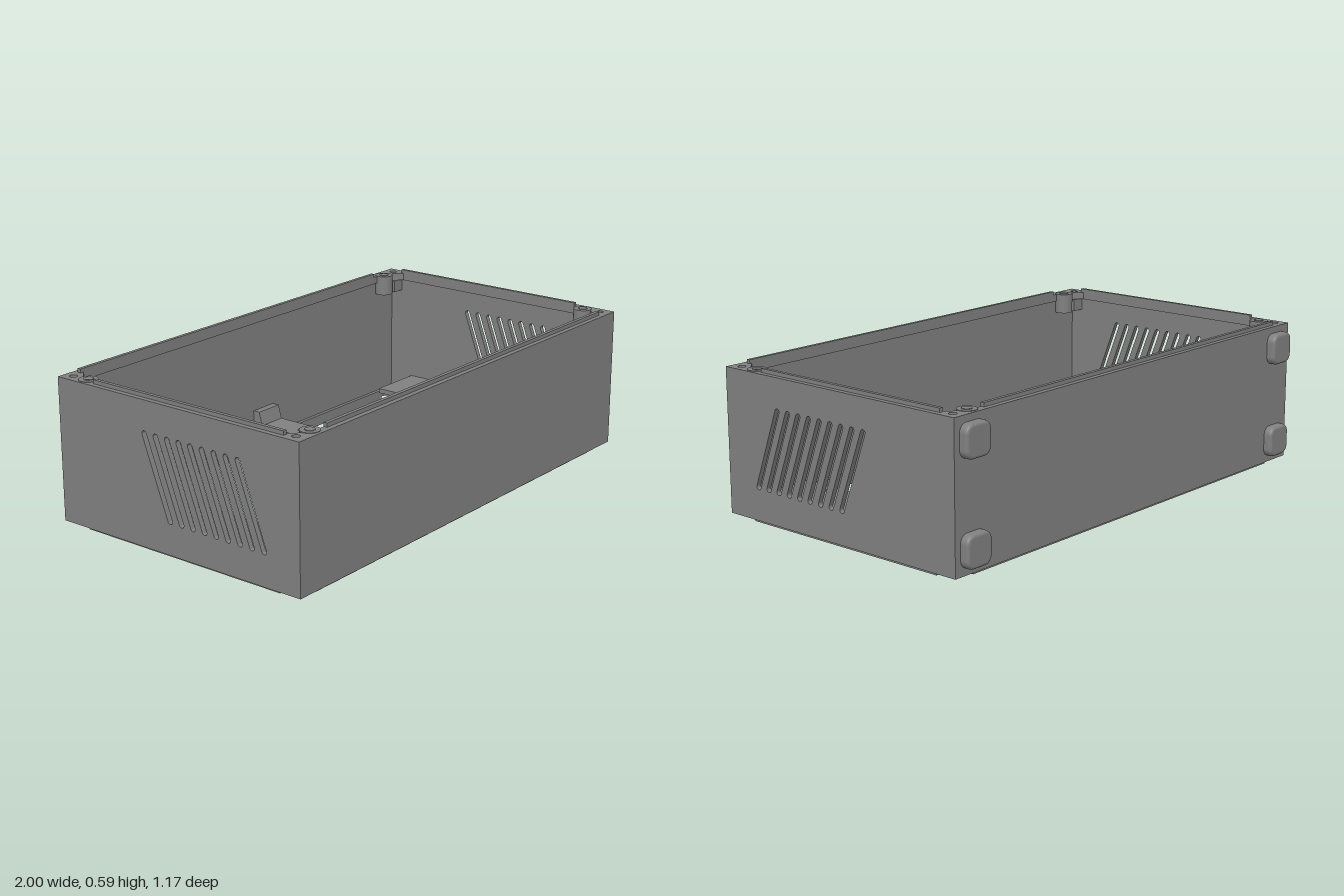
import * as THREE from 'three';

const X = 1, ZB = -0.547, ZF = 0.587; // outer shell limits
const Y0 = 0.015, Y1 = 0.575, T = 0.02, RIM = 0.035, TAB = 0.075;

export function createModel() {
  const group = new THREE.Group();
  const grey = new THREE.MeshStandardMaterial({ color: 0x808080 });
  grey.name = 'mid grey';

  const add = (geo, name, x = 0, y = 0, z = 0) => {
    const m = new THREE.Mesh(geo, grey);
    m.name = name;
    m.position.set(x, y, z);
    group.add(m);
    return m;
  };
  // box from its limits
  const block = (name, x0, x1, y0, y1, z0, z1) =>
    add(new THREE.BoxGeometry(x1 - x0, y1 - y0, z1 - z0), name, (x0 + x1) / 2, (y0 + y1) / 2, (z0 + z1) / 2);
  const poly = (pts, Kind = THREE.Shape) => new Kind(pts.map(p => new THREE.Vector2(...p)));
  const rect = (x0, x1, z0, z1) => poly([[x0, z0], [x1, z0], [x1, z1], [x0, z1]]);
  const drill = (shape, x, z, r) => {
    shape.holes.push(new THREE.Path().absarc(x, z, r, 0, Math.PI * 2, true));
    return shape;
  };
  const extrude = (shape, depth) =>
    new THREE.ExtrudeGeometry(shape, { depth, bevelEnabled: false, curveSegments: 16 });
  // horizontal plate drawn in (x, z), extruded down from its top
  const slab = (shape, name, top, depth) => {
    const m = add(extrude(shape, depth), name, 0, top, 0);
    m.rotation.x = Math.PI / 2;
  };

  // front and back walls
  block('frontWall', -X, X, Y0, Y1, ZF - T, ZF);
  block('backWall', -X, X, Y0, Y1, ZB, ZB + T);

  // side walls with slanted vent slots
  const side = rect(ZB + T, ZF - T, Y0, Y1);
  const r = 0.011, lean = Math.atan2(0.318, -0.113);
  for (let i = 0; i < 9; i++) {
    const zt = 0.316 - i * 0.0545, zb = zt + 0.113;
    const slot = new THREE.Path();
    slot.absarc(zt, 0.449, r, lean - Math.PI / 2, lean + Math.PI / 2, false);
    slot.absarc(zb, 0.146, r, lean + Math.PI / 2, lean + Math.PI * 1.5, false);
    slot.closePath();
    side.holes.push(slot);
  }
  for (const [name, x] of [['leftWall', X], ['rightWall', -X + T]]) {
    add(extrude(side, T), name, x).rotation.y = -Math.PI / 2;
  }

  // thickened rims with screw holes in the corner tabs
  const corners = [[1, 1], [1, -1], [-1, 1], [-1, -1]];
  const holeX = X - 0.039, holeZ = s => (s > 0 ? ZF - 0.045 : ZB + 0.041);
  const rim = rect(-X, X, ZB, ZF);
  const a = X - RIM, b = X - TAB, f = ZF - RIM, g = ZF - TAB, k = ZB + RIM, l = ZB + TAB;
  rim.holes.push(poly([
    [a, l + 0.02], [a, g - 0.02], [b + 0.02, g], [b, g + 0.02], [b - 0.02, f],
    [-b + 0.02, f], [-b, g + 0.02], [-b - 0.02, g], [-a, g - 0.02],
    [-a, l + 0.02], [-b - 0.02, l], [-b, l - 0.02], [-b + 0.02, k],
    [b - 0.02, k], [b, l - 0.02], [b + 0.02, l],
  ], THREE.Path));
  for (const [sx, sz] of corners) drill(rim, sx * holeX, holeZ(sz), 0.015);
  slab(rim, 'topRim', Y1, 0.03);
  slab(rim, 'bottomRim', Y0 + 0.03, 0.03);

  // screw posts under the top rim
  for (const [sx, sz] of corners) {
    const xs = [sx * (X - T), sx * b].sort((p, q) => p - q);
    const zs = sz > 0 ? [g, ZF - T] : [ZB + T, l];
    slab(drill(rect(...xs, ...zs), sx * holeX, holeZ(sz), 0.015), 'screwPost', Y1 - 0.03, 0.05);
  }

  // magnet bosses beside the posts
  for (const [x, z] of [[-0.955, -0.435], [0.885, -0.5], [-0.885, 0.538], [0.955, 0.465]]) {
    add(new THREE.CylinderGeometry(0.037, 0.037, 0.082, 32), 'magnetBoss', x, Y1 - 0.039, z);
    add(new THREE.CylinderGeometry(0.019, 0.019, 0.003, 24), 'magnet', x, Y1 + 0.003, z);
  }

  // locating lips above and below the rims
  const lips = (y0, y1, front, back, left, right) => {
    block('frontLip', ...front, y0, y1, ZF - RIM, ZF - T);
    block('backLip', ...back, y0, y1, ZB + T, ZB + RIM);
    block('leftLip', X - RIM, X - T, y0, y1, ...left);
    block('rightLip', -X + T, -X + RIM, y0, y1, ...right);
  };
  lips(Y1, 0.59, [-0.83, 0.915], [-0.92, 0.83], [-0.465, 0.417], [-0.385, 0.505]);
  lips(0, Y0, [-0.89, 0.89], [-0.89, 0.89], [-0.44, 0.48], [-0.44, 0.48]);

  // side shelves
  const shelf = (name, x0, x1, holes) => {
    const s = rect(x0, x1, -0.415, 0.45);
    holes.forEach(h => drill(s, ...h));
    slab(s, name, 0.11, 0.02);
  };
  shelf('rightShelf', -X + T, -0.745, [[-0.79, -0.255, 0.017], [-0.8, 0.29 - 0.41, 0.013], [-0.79, 0.29, 0.017]]);
  shelf('leftShelf', 0.742, X - T, [[0.785, -0.255, 0.017], [0.795, 0.15, 0.013], [0.785, 0.29, 0.017]]);

  // front and back mounting brackets: drilled plate plus a sloped root on the wall
  const bracket = (name, x0, x1, tip, wall, holeAt) => {
    const s = Math.sign(wall);
    slab(drill(rect(x0, x1, Math.min(tip, wall), Math.max(tip, wall)), (x0 + x1) / 2, holeAt, 0.016), name, 0.115, 0.015);
    let pts = [[wall, 0.04], [wall, 0.17], [wall - s * 0.03, 0.17], [wall - s * 0.045, 0.115], [wall - s * 0.075, 0.1]];
    const m = add(extrude(poly(pts), x1 - x0), name + 'Root', x1);
    m.rotation.y = -Math.PI / 2;
  };
  bracket('frontBracket', -0.17, -0.048, 0.31, ZF - T, 0.352);
  bracket('backBracket', 0.043, 0.165, -0.28, ZB + T, -0.322);

  // four rounded feet on the back
  const h = 0.05, c = 0.022; // half size and corner radius before the bevel
  const pad = new THREE.Shape();
  pad.absarc(h - c, h - c, c, 0, Math.PI / 2);
  pad.absarc(-h + c, h - c, c, Math.PI / 2, Math.PI);
  pad.absarc(-h + c, -h + c, c, Math.PI, Math.PI * 1.5);
  pad.absarc(h - c, -h + c, c, Math.PI * 1.5, Math.PI * 2);
  const foot = new THREE.ExtrudeGeometry(pad, {
    depth: 0.022, bevelThickness: 0.012, bevelSize: 0.012, bevelSegments: 4, curveSegments: 8,
  });
  for (const x of [-0.912, 0.912]) for (const y of [0.103, 0.487]) {
    add(foot, 'foot', x, y, ZB - 0.023);
  }
  return group;
}
